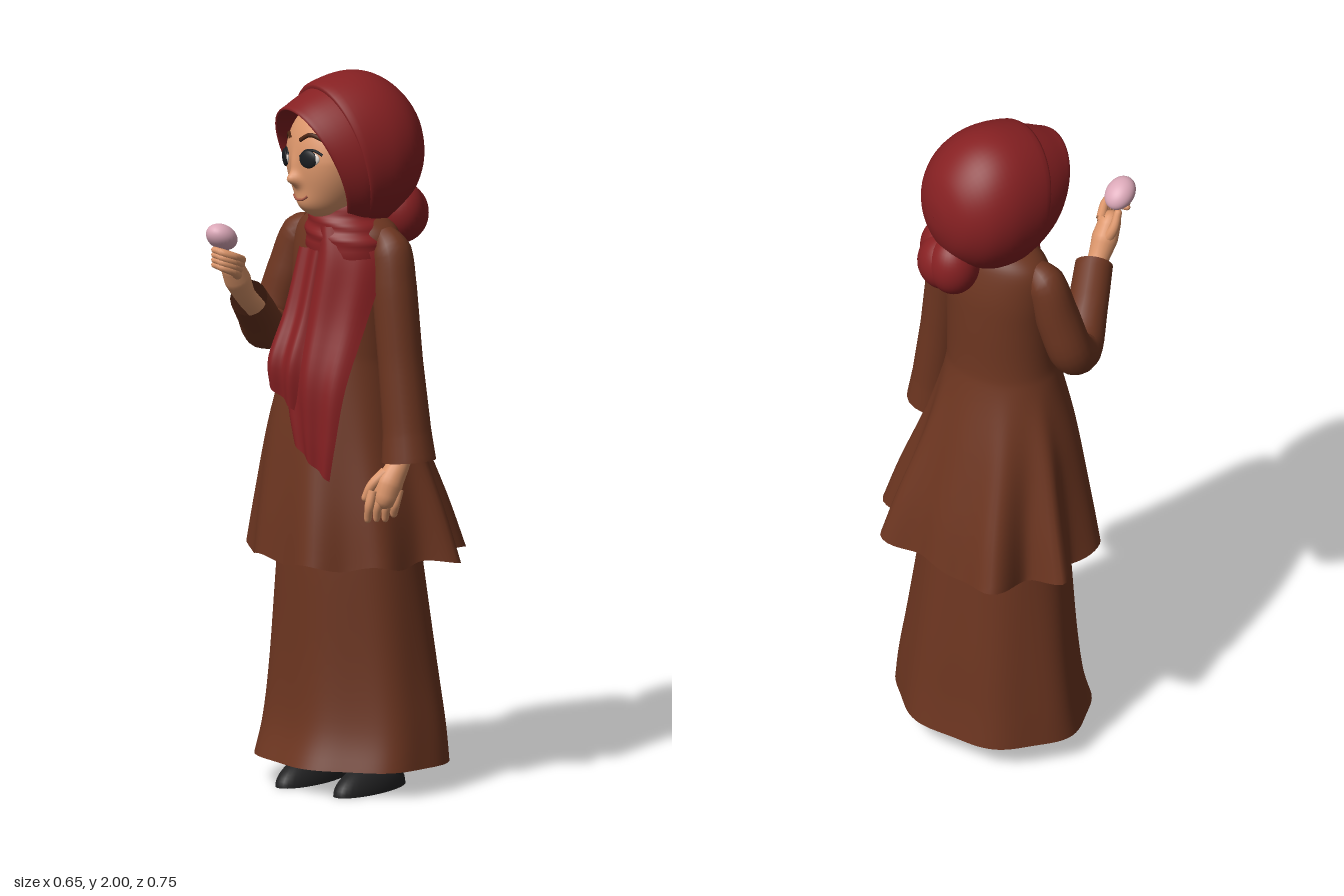
import * as THREE from 'three';

const mat = (name, color, side = THREE.FrontSide) => {
  const m = new THREE.MeshStandardMaterial({ color, side });
  m.name = name;
  return m;
};
const V = (x, y, z) => new THREE.Vector3(x, y, z);

// Skin a list of rows of points; closed rows wrap around
function skinRows(rows, closed = true) {
  const n = rows[0].length, pos = [], idx = [];
  rows.forEach(r => r.forEach(p => pos.push(p.x, p.y, p.z)));
  for (let i = 0; i < rows.length - 1; i++)
    for (let j = 0; j < (closed ? n : n - 1); j++) {
      const k = (j + 1) % n, a = i * n + j, b = i * n + k, c = a + n, d = b + n;
      idx.push(a, c, b, b, c, d);
    }
  const g = new THREE.BufferGeometry();
  g.setAttribute('position', new THREE.Float32BufferAttribute(pos, 3));
  g.setIndex(idx);
  g.computeVertexNormals();
  return g;
}

// Smoothly resample a table of section values
function resample(table, steps) {
  const out = [], n = table.length - 1;
  for (let s = 0; s <= n * steps; s++) {
    const i = Math.min(Math.floor(s / steps), n - 1), t = s / steps - i;
    const p = [table[Math.max(i - 1, 0)], table[i], table[i + 1], table[Math.min(i + 2, n)]];
    out.push(table[0].map((_, c) => {
      const [a, b, d, e] = p.map(r => r[c]);
      return b + 0.5 * t * (d - a + t * (2 * a - 5 * b + 4 * d - e + t * (3 * (b - d) + e - a)));
    }));
  }
  return out;
}

// Upright garment from sections [y, cx, cz, rx, rz]; fold(angle, y) returns [outward, lift]
function garment(table, fold, n = 120) {
  return skinRows(resample(table, 5).map(([y, cx, cz, rx, rz]) =>
    Array.from({ length: n }, (_, j) => {
      const a = j / n * Math.PI * 2, [f, lift] = fold(a, y);
      return V(cx + Math.sin(a) * (rx + f), y + lift, cz + Math.cos(a) * (rz + f));
    })));
}

// Tapered limb through points [x, y, z, radius]; round closes the far end
function limb(pts, round = false, n = 18) {
  const curve = new THREE.CatmullRomCurve3(pts.map(p => V(p[0], p[1], p[2])));
  const rows = [], steps = (pts.length - 1) * 6;
  const ring = (c, t, r) => {
    const u = V(1, 0, 0).addScaledVector(t, -t.x).normalize(), w = u.clone().cross(t);
    return Array.from({ length: n }, (_, j) => {
      const a = j / n * Math.PI * 2;
      return c.clone().addScaledVector(u, r * Math.cos(a)).addScaledVector(w, r * Math.sin(a));
    });
  };
  for (let s = 0; s <= steps; s++) {
    const t = s / steps, i = Math.min(Math.floor(s / 6), pts.length - 2), f = s / 6 - i;
    rows.push(ring(curve.getPoint(t), curve.getTangent(t), pts[i][3] * (1 - f) + pts[i + 1][3] * f));
  }
  if (round) {
    const c = curve.getPoint(1), t = curve.getTangent(1), r = pts[pts.length - 1][3];
    for (const a of [0.5, 1, 1.55]) rows.push(ring(c.clone().addScaledVector(t, r * Math.sin(a)), t, r * Math.cos(a)));
  }
  return skinRows(rows);
}

// Hanging cloth from rows [yLeft, yRight, xLeft, xRight, z, bow]
function drape(table, folds, amp) {
  const n = 28;
  return skinRows(resample(table, 5).map(([yl, yr, xl, xr, z, bow]) =>
    Array.from({ length: n + 1 }, (_, j) => {
      const u = j / n, e = 2 * u - 1;
      return V(xl + (xr - xl) * u, yl + (yr - yl) * u, z - bow * e * e + amp * Math.sin(u * folds * Math.PI * 2));
    })), false);
}

// Hood shell from sections [z, cy, rx, ry, lean] stacked along the face direction
function hood(table) {
  return skinRows(resample(table, 4).map(([z, cy, rx, ry, k]) =>
    Array.from({ length: 64 }, (_, j) => {
      const a = j / 64 * Math.PI * 2, y = cy + ry * Math.sin(a);
      return V(rx * Math.cos(a), y, z + k * y);
    })));
}

export function createModel() {
  const D = THREE.DoubleSide;
  const brown = mat('brown cloth', 0x6c3520, D), red = mat('red cloth', 0x862022, D);
  const skin = mat('skin', 0xdb956a, D), black = mat('black shoe', 0x222223, D);
  const pink = mat('pink shell', 0xdba8b8), dark = mat('dark eye', 0x191c20);
  const white = mat('eye white', 0xe0d6ce), brow = mat('brow brown', 0x4a2412), lip = mat('lip', 0xa85a48);

  const model = new THREE.Group();
  const add = (parent, name, geo, m) => {
    const mesh = new THREE.Mesh(geo, m);
    mesh.name = name;
    parent.add(mesh);
    return mesh;
  };
  const ball = (parent, name, m, p, s) => {
    const mesh = add(parent, name, new THREE.SphereGeometry(1, 32, 24), m);
    mesh.position.set(...p);
    mesh.scale.set(...s);
    return mesh;
  };

  // Tunic with deep folds around the hem: [angle in degrees, depth, spread]
  const bumps = [[-149, 0.09, 9], [139, 0.085, 9], [-113, 0.085, 7], [105, 0.085, 8], [180, 0.04, 18],
    [13, 0.045, 11], [-72, 0.045, 12], [55, 0.035, 11], [-34, 0.025, 11]];
  const tunicFold = (a, y) => {
    const t = Math.pow(THREE.MathUtils.clamp((1.2 - y) / 0.55, 0, 1), 1.5);
    let f = 0;
    for (const [deg, depth, w] of bumps) {
      let d = (a * 180 / Math.PI - deg) % 360;
      if (d > 180) d -= 360;
      if (d < -180) d += 360;
      f += depth * Math.exp(-d * d / (2 * w * w));
    }
    return [t * (f - 0.018), t * t * 0.008 * Math.sin(a * 9)];
  };
  add(model, 'tunic', garment([
    [1.62, 0.02, -0.075, 0.06, 0.05], [1.6, 0.02, -0.075, 0.12, 0.08], [1.56, 0.02, -0.075, 0.16, 0.1],
    [1.48, 0.015, -0.075, 0.165, 0.118], [1.38, 0.008, -0.075, 0.158, 0.125], [1.25, 0.003, -0.075, 0.16, 0.13],
    [1.18, -0.003, -0.075, 0.17, 0.143], [1.0, -0.01, -0.085, 0.212, 0.185], [0.8, -0.003, -0.095, 0.253, 0.222],
    [0.65, 0, -0.1, 0.275, 0.24]], tunicFold), brown);

  // Long skirt with shallow folds, flaring in front only near the ground
  add(model, 'skirt', garment([
    [0.8, -0.005, -0.11, 0.195, 0.155], [0.65, -0.005, -0.113, 0.213, 0.172],
    [0.35, -0.003, -0.127, 0.247, 0.193], [0.18, 0, -0.128, 0.27, 0.209], [0.075, 0, -0.118, 0.283, 0.233]],
  (a, y) => [(0.8 - y) * 0.009 * Math.sin(a * 7 + 1), 0]), brown);

  // Shoes and lower legs
  for (const x of [-0.095, 0.107]) {
    const foot = new THREE.SphereGeometry(1, 32, 24), p = foot.attributes.position;
    for (let i = 0; i < p.count; i++) {
      const z = p.getZ(i);
      p.setXYZ(i, p.getX(i) * 0.058, Math.max(0, p.getY(i)) * (0.078 - 0.012 * z), z * 0.143 - 0.057);
    }
    foot.computeVertexNormals();
    add(model, 'shoe', foot, black).position.x = x;
    add(model, 'lowerLeg', limb([[x, 0.03, -0.14, 0.042], [x, 0.15, -0.14, 0.043], [x, 0.4, -0.12, 0.055]]), black);
  }

  // Sleeves
  add(model, 'leftSleeve', limb([[0.14, 1.565, -0.07, 0.035], [0.175, 1.52, -0.066, 0.057], [0.192, 1.42, -0.06, 0.062],
    [0.217, 1.22, -0.055, 0.062], [0.243, 1.03, -0.05, 0.067], [0.253, 0.945, -0.047, 0.075]]), brown);
  add(model, 'rightSleeve', limb([[-0.1, 1.56, -0.07, 0.035], [-0.14, 1.53, -0.07, 0.055], [-0.175, 1.42, -0.06, 0.062],
    [-0.207, 1.3, -0.035, 0.063], [-0.193, 1.272, 0.02, 0.062], [-0.15, 1.335, 0.115, 0.056], [-0.1, 1.4, 0.215, 0.052]]), brown);

  // Relaxed left hand
  const leftHand = new THREE.Group();
  leftHand.name = 'leftHand';
  model.add(leftHand);
  add(leftHand, 'leftWrist', limb([[0.252, 1.02, -0.045, 0.03], [0.245, 0.95, -0.02, 0.029],
    [0.232, 0.89, 0.012, 0.038], [0.226, 0.85, 0.025, 0.034]], true), skin);
  for (let i = 0; i < 4; i++) {
    const x = 0.202 + i * 0.016, z = 0.058 - i * 0.018, drop = i === 3 ? 0.012 : 0;
    add(leftHand, 'leftFinger', limb([[x + 0.004, 0.872, z - 0.005, 0.014], [x, 0.83, z + 0.006, 0.013],
      [x - 0.01, 0.79 + drop, z, 0.01]], true, 12), skin);
  }
  add(leftHand, 'leftThumb', limb([[0.225, 0.92, 0.02, 0.018], [0.2, 0.885, 0.05, 0.014], [0.185, 0.85, 0.06, 0.011]], true, 12), skin);

  // Raised right hand holding the egg
  const rightHand = new THREE.Group();
  rightHand.name = 'rightHand';
  model.add(rightHand);
  add(rightHand, 'rightWrist', limb([[-0.112, 1.36, 0.165, 0.028], [-0.105, 1.41, 0.225, 0.029],
    [-0.102, 1.46, 0.262, 0.037], [-0.1, 1.5, 0.288, 0.032]], true), skin);
  for (let i = 0; i < 4; i++) {
    const h = i * 0.014;
    add(rightHand, 'rightFinger', limb([[-0.085, 1.475 + h, 0.28 - h * 0.3, 0.014], [-0.07 + h * 0.1, 1.495 + h, 0.32, 0.012],
      [-0.085, 1.51 + h, 0.35, 0.011], [-0.112, 1.515 + h, 0.352, 0.009]], true, 12), skin);
  }
  add(rightHand, 'rightThumb', limb([[-0.11, 1.46, 0.25, 0.018], [-0.13, 1.505, 0.265, 0.014], [-0.13, 1.545, 0.285, 0.011]], true, 12), skin);
  ball(model, 'egg', pink, [-0.114, 1.587, 0.317], [0.041, 0.034, 0.051]).rotation.x = -0.55;

  // Head, turned and tilted towards the raised hand
  const head = new THREE.Group();
  head.name = 'head';
  head.position.set(0.016, 1.78, -0.09);
  head.rotation.set(0, -0.36, 0.13);
  model.add(head);
  // Face surface, with the chin and nose modelled in
  const faceZ = (x, y) => {
    const d = Math.max(0, 1 - (x / 0.135) ** 2 - ((y + 0.02) / 0.17) ** 2);
    const chin = 0.02 * Math.exp(-((x / 0.07) ** 2) - ((y + 0.145) / 0.04) ** 2);
    const bridge = 0.008 * Math.exp(-((x / 0.014) ** 2) - ((y + 0.03) / 0.035) ** 2);
    const tip = 0.026 * Math.exp(-((x / 0.021) ** 2) - ((y + 0.062) / 0.018) ** 2);
    return 0.183 * Math.pow(d, 0.3) + (d > 0 ? chin + bridge + tip : 0);
  };
  const face = new THREE.SphereGeometry(1, 112, 80), fp = face.attributes.position;
  for (let i = 0; i < fp.count; i++) {
    const x = fp.getX(i) * 0.135, y = fp.getY(i) * 0.17 - 0.02, z = fp.getZ(i);
    fp.setXYZ(i, x * (1 - 0.2 * Math.max(0, -fp.getY(i))), y, z > 0.001 ? faceZ(x, y) : z * 0.14);
  }
  face.computeVertexNormals();
  add(head, 'face', face, skin);
  const faceLine = (name, pts, r, m) => add(head, name, new THREE.TubeGeometry(
    new THREE.CatmullRomCurve3(pts.map(([x, y]) => V(x, y, faceZ(x, y)))), 20, r, 8), m);
  for (const s of [-1, 1]) {
    const eye = (name, m, x, w, h, out) => {
      const e = ball(head, name, m, [s * x, -0.005, faceZ(x, -0.005) + out], [w, h, 0.008]);
      e.rotation.y = s * 0.4;
    };
    eye('eyeWhite', white, 0.062, 0.034, 0.02, 0);
    eye('iris', dark, 0.061, 0.029, 0.025, 0.003);
    faceLine('upperLid', [[s * 0.03, 0.002], [s * 0.05, 0.018], [s * 0.075, 0.018], [s * 0.096, 0.004]], 0.004, dark);
    faceLine('eyebrow', [[s * 0.024, 0.046], [s * 0.055, 0.06], [s * 0.092, 0.045]], 0.0065, brow);
  }
  faceLine('mouth', [[-0.037, -0.108], [-0.018, -0.118], [0, -0.12], [0.018, -0.118], [0.037, -0.108]], 0.0035, lip);

  // Head covering: brim around the face, overlapping dome behind
  add(head, 'hoodBrim', hood([[0.05, -0.03, 0.122, 0.145, 0.3], [0.138, -0.03, 0.13, 0.16, 0.43],
    [0.118, -0.027, 0.148, 0.175, 0.36], [0.06, -0.016, 0.167, 0.199, 0.2], [0, 0, 0.174, 0.21, 0.1]]), red);
  add(head, 'hoodDome', hood([[0.06, -0.012, 0.16, 0.19, 0.25], [0.055, -0.008, 0.174, 0.205, 0.22],
    [0, 0, 0.18, 0.218, 0.05], [-0.06, 0, 0.177, 0.211, 0], [-0.12, 0, 0.156, 0.178, 0], [-0.17, 0, 0.11, 0.122, 0],
    [-0.195, 0, 0.05, 0.055, 0], [-0.2, 0, 0.001, 0.001, 0]]), red);

  // Gathered knot at the nape: two lobes joined by a fuller middle
  ball(model, 'knotLobe', red, [0.118, 1.607, -0.178], [0.072, 0.087, 0.068]);
  ball(model, 'knotLobe', red, [0.058, 1.6, -0.223], [0.072, 0.09, 0.072]);
  ball(model, 'knotMiddle', red, [0.093, 1.592, -0.212], [0.078, 0.084, 0.08]);

  // Neck wrap and hanging scarf ends
  add(model, 'neckWrap', garment([[1.68, 0.02, -0.065, 0.09, 0.08], [1.62, 0.022, -0.06, 0.1, 0.095],
    [1.58, 0.03, -0.052, 0.115, 0.1], [1.54, 0.04, -0.048, 0.125, 0.104], [1.46, 0.045, -0.05, 0.12, 0.1]],
  (a, y) => [0.003 * Math.sin(y * 150 + Math.sin(a) * 2), 0]), red);
  add(model, 'scarfFront', drape([[1.59, 1.59, -0.06, 0.13, 0.046, 0.08], [1.5, 1.5, -0.075, 0.178, 0.066, 0.1],
    [1.35, 1.33, -0.075, 0.164, 0.098, 0.07], [1.2, 1.16, -0.06, 0.147, 0.138, 0.04],
    [1.08, 1.0, -0.035, 0.127, 0.14, 0.02], [0.99, 0.895, -0.012, 0.11, 0.134, 0.01]], 2.5, 0.005), red);
  add(model, 'scarfBack', drape([[1.52, 1.52, -0.075, 0.06, 0.05, 0.03], [1.35, 1.35, -0.088, 0.05, 0.09, 0.02],
    [1.22, 1.2, -0.1, 0.04, 0.138, 0.01], [1.14, 1.06, -0.1, 0.03, 0.132, 0.01]], 2, 0.008), red);

  return model;
}
